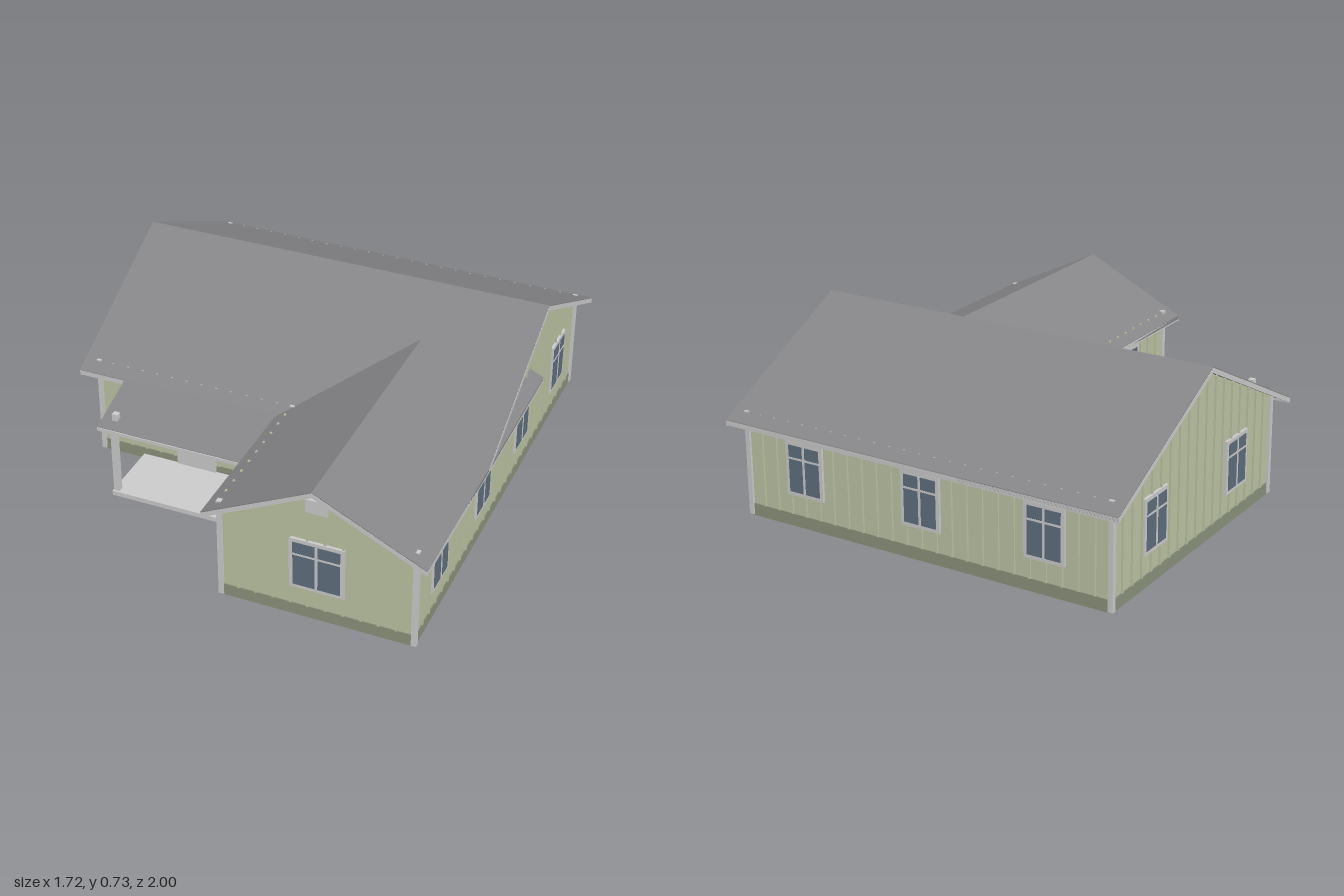
import * as THREE from 'three';
import { mergeGeometries } from 'three/addons/utils/BufferGeometryUtils.js';

const mat = (color, side = THREE.FrontSide) => new THREE.MeshStandardMaterial({ color, side });
const siding = mat(0xbcc4a4, THREE.DoubleSide);
const skirtMat = mat(0x8b927c);
const roofMat = mat(0x868688);
const trim = mat(0xcccccc);
const glass = mat(0x5f6f7e);

function add(parent, name, geometry, material, x = 0, y = 0, z = 0) {
  const mesh = new THREE.Mesh(geometry, material);
  mesh.name = name;
  mesh.position.set(x, y, z);
  parent.add(mesh);
  return mesh;
}
const box = (parent, name, material, w, h, d, x, y, z) =>
  add(parent, name, new THREE.BoxGeometry(w, h, d), material, x, y, z);

const shapeOf = (pts) => new THREE.Shape(pts.map(([x, y]) => new THREE.Vector2(x, y)));

// Height of a wall's top edge at u, interpolated between its points
function topAt(tops, u) {
  for (let i = 1; i < tops.length; i++) {
    const [u0, y0] = tops[i - 1], [u1, y1] = tops[i];
    if (u <= u1) return y0 + ((y1 - y0) * (u - u0)) / (u1 - u0);
  }
  return tops[tops.length - 1][1];
}

// Framed window with four panes, on a wall's local front
function addWindow(wall, u, w) {
  const g = new THREE.Group();
  g.name = 'window';
  g.position.set(u, 0.242, 0);
  box(g, 'windowFrame', trim, w + 0.03, 0.22, 0.022, 0, 0, 0);
  box(g, 'windowGlass', glass, w, 0.19, 0.004, 0, 0, 0.011);
  box(g, 'verticalMuntin', trim, 0.01, 0.19, 0.004, 0, 0, 0.0125);
  box(g, 'horizontalMuntin', trim, w, 0.008, 0.004, 0, 0.043, 0.0125);
  wall.add(g);
}

// Wall in local coordinates: u along x, outside towards +z; tops run left to right
function makeWall(house, { name, x, z, turn, tops, windows = [], windowWidth = 0.14, gable }) {
  const wall = new THREE.Group();
  wall.name = name;
  wall.position.set(x, 0, z);
  wall.rotation.y = turn;
  house.add(wall);
  const u0 = tops[0][0], u1 = tops[tops.length - 1][0], w = u1 - u0;
  const outline = [[u0, 0.05], [u1, 0.05], ...tops.slice().reverse()];
  add(wall, 'siding', new THREE.ShapeGeometry(shapeOf(outline)), siding);
  box(wall, 'skirt', skirtMat, w, 0.05, 0.008, (u0 + u1) / 2, 0.025, 0);

  // Vertical battens
  const count = Math.round(w / 0.067);
  const battens = [];
  for (let i = 1; i < count; i++) {
    const u = u0 + (w * i) / count;
    const top = topAt(tops, u) + (gable ? 0 : 0.012);
    const b = new THREE.BoxGeometry(0.008, top - 0.05, 0.008);
    battens.push(b.translate(u, (top + 0.05) / 2, 0.004));
  }
  add(wall, 'battens', mergeGeometries(battens), siding);
  windows.forEach((u) => addWindow(wall, u, windowWidth));
  return wall;
}

// Gable roof along z: half span, ridge height, eave height, length
function makeRoof(name, half, ridge, eave, length) {
  const roof = new THREE.Group();
  roof.name = name;
  const chevron = (t, drop, h) => {
    const k = (ridge - eave) / half, e = ridge - drop - k * h;
    return shapeOf([[-h, e], [0, ridge - drop], [h, e], [h, e - t], [0, ridge - drop - t], [-h, e - t]]);
  };
  const slab = new THREE.ExtrudeGeometry(chevron(0.016, 0, half), { depth: length, bevelEnabled: false });
  add(roof, 'roofPanels', slab, roofMat, 0, 0, -length / 2);
  for (const s of [-1, 1]) {
    const rake = new THREE.ExtrudeGeometry(chevron(0.02, 0.004, half), { depth: 0.008, bevelEnabled: false });
    add(roof, 'rakeTrim', rake, trim, 0, 0, s * (length / 2 - 0.003) - 0.004);
    box(roof, 'eaveTrim', trim, 0.008, 0.02, length, s * (half - 0.004), eave - 0.012, 0);
  }
  return roof;
}

export function createModel() {
  const house = new THREE.Group();
  house.name = 'house';
  const H = 0.416;
  const quarter = Math.PI / 2;

  // Walls
  makeWall(house, {
    name: 'rightWall', x: 0.8, z: 0, turn: quarter, gable: true,
    tops: [[-0.94, H], [-0.28, H], [0.33, 0.714], [0.94, H]],
    windows: [-0.71, -0.235, 0.235, 0.705],
  });
  makeWall(house, {
    name: 'sideWall', x: -0.8, z: -0.33, turn: -quarter, gable: true,
    tops: [[-0.61, H], [0, 0.714], [0.61, H]], windows: [-0.315, 0.315],
  });
  makeWall(house, {
    name: 'backWall', x: 0, z: -0.94, turn: Math.PI,
    tops: [[-0.8, H], [0.8, H]], windows: [-0.53, 0, 0.53],
  });
  const porchWall = makeWall(house, {
    name: 'porchWall', x: -0.38, z: 0.28, turn: 0, tops: [[-0.42, H], [0.42, H]],
  });
  makeWall(house, {
    name: 'wingSideWall', x: 0.04, z: 0.61, turn: -quarter,
    tops: [[-0.33, H], [0.33, H]], windows: [0.02],
  });
  const wingFront = makeWall(house, {
    name: 'wingFrontWall', x: 0.42, z: 0.94, turn: 0, gable: true,
    tops: [[-0.38, H - 0.005], [0.003, 0.594], [0.38, H - 0.005]], windows: [0.003], windowWidth: 0.185,
  });

  // Gable vent and front door
  box(wingFront, 'gableVent', trim, 0.085, 0.056, 0.026, 0.003, 0.513, 0);
  box(porchWall, 'door', trim, 0.17, 0.295, 0.022, 0, 0.167, 0);
  box(porchWall, 'doorGlass', glass, 0.094, 0.08, 0.004, 0, 0.266, 0.011);

  // Corner boards
  for (const [x, z] of [[-0.8, -0.94], [0.8, -0.94], [-0.8, 0.28], [0.04, 0.28], [0.04, 0.94], [0.8, 0.94]])
    box(house, 'cornerBoard', trim, 0.02, 0.425, 0.02, x, 0.2175, z);

  // Main roof, ridge along x
  const mainRoof = makeRoof('mainRoof', 0.67, 0.733, 0.4, 1.716);
  mainRoof.rotation.y = quarter;
  mainRoof.position.z = -0.33;
  house.add(mainRoof);

  // Wing roof, ridge along z, running back beneath the main roof
  const wingRoof = makeRoof('wingRoof', 0.434, 0.612, 0.4, 1.326);
  wingRoof.position.set(0.424, 0, 0.333);
  house.add(wingRoof);

  // Porch: deck, post, sloping roof and a small pipe
  const porch = new THREE.Group();
  porch.name = 'porch';
  house.add(porch);
  box(porch, 'porchDeck', trim, 0.66, 0.02, 0.28, -0.29, 0.01, 0.42);
  box(porch, 'porchPost', trim, 0.024, 0.31, 0.024, -0.605, 0.17, 0.54);
  const profile = shapeOf([[-0.575, 0.327], [-0.31, 0.411], [-0.31, 0.396], [-0.575, 0.312]]);
  const panel = add(porch, 'porchRoof',
    new THREE.ExtrudeGeometry(profile, { depth: 0.7, bevelEnabled: false }), roofMat, 0.04, 0, 0);
  panel.rotation.y = -quarter;
  panel.scale.x = -1;
  // Mirrored outline is rebuilt facing outwards
  panel.geometry.dispose();
  panel.scale.x = 1;
  panel.geometry = new THREE.ExtrudeGeometry(
    shapeOf([[0.575, 0.327], [0.31, 0.411], [0.31, 0.396], [0.575, 0.312]]), { depth: 0.7, bevelEnabled: false });
  box(porch, 'porchFascia', trim, 0.7, 0.014, 0.006, -0.31, 0.318, 0.576);
  box(porch, 'ventPipe', trim, 0.024, 0.04, 0.024, -0.605, 0.35, 0.52);
  return house;
}
